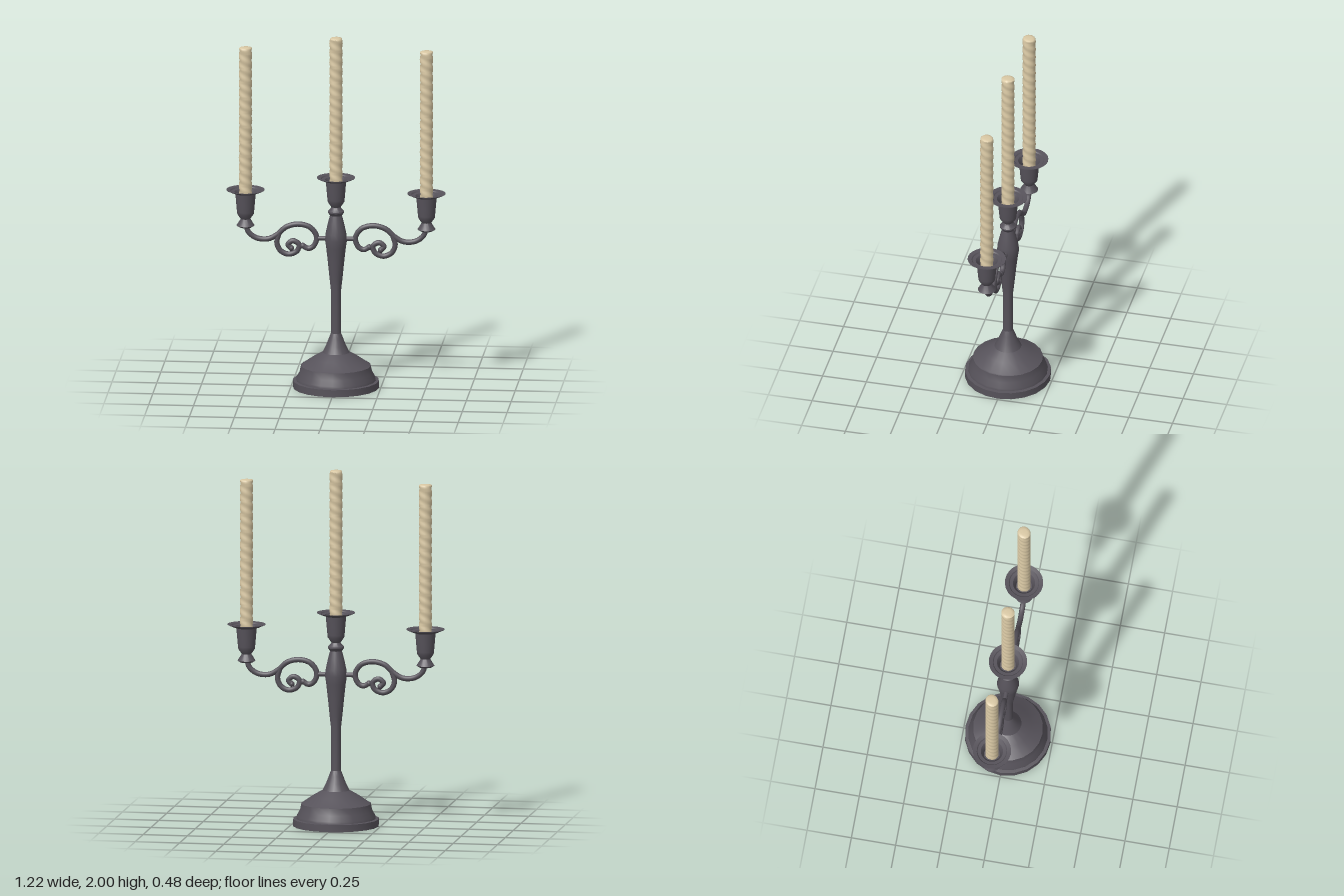
import * as THREE from 'three';
import { toCreasedNormals } from 'three/addons/utils/BufferGeometryUtils.js';

const iron = new THREE.MeshStandardMaterial({ color: 0x56525a });
iron.name = 'dark iron';
const wax = new THREE.MeshStandardMaterial({ color: 0xd9c8a4 });
wax.name = 'cream wax';

function add(parent, name, geometry, material) {
  const mesh = new THREE.Mesh(geometry, material);
  mesh.name = name;
  parent.add(mesh);
  return mesh;
}

// Turned part from [radius, height] pairs, listed from the bottom up
function turned(profile, sides = 20) {
  const points = profile.map(([r, y]) => new THREE.Vector2(r, y));
  return toCreasedNormals(new THREE.LatheGeometry(points, sides), 0.55);
}

// Candle with shallow spiral flutes and a low domed top
function candleGeometry(height) {
  const points = [new THREE.Vector2(0, 0)];
  const rows = Math.round(height / 0.009);
  for (let i = 0; i <= rows; i++) points.push(new THREE.Vector2(0.036, (i / rows) * (height - 0.006)));
  points.push(new THREE.Vector2(0.032, height - 0.002), new THREE.Vector2(0.018, height), new THREE.Vector2(0, height));
  const geometry = new THREE.LatheGeometry(points, 16);
  const p = geometry.attributes.position;
  for (let i = 0; i < p.count; i++) {
    const x = p.getX(i), y = p.getY(i), z = p.getZ(i);
    const r = Math.hypot(x, z);
    if (r < 0.03) continue;
    const s = 1 + 0.05 * Math.cos(2 * Math.atan2(x, z) + y * 118);
    p.setX(i, x * s);
    p.setZ(i, z * s);
  }
  return toCreasedNormals(geometry, 0.9);
}

// Cup with drip pan; the origin is at the rim
function candleHolder(candleHeight) {
  const group = new THREE.Group();
  group.name = 'candleHolder';
  add(group, 'cup', turned([
    [0, -0.17], [0.025, -0.17], [0.046, -0.14], [0.048, -0.125], [0.052, -0.08], [0.057, -0.022],
    [0.075, -0.016], [0.107, -0.002], [0.107, 0], [0.085, -0.004], [0.08, -0.01], [0.062, -0.012],
    [0.05, -0.03], [0.045, -0.06], [0, -0.06],
  ], 24), iron);
  const candle = add(group, 'candle', candleGeometry(candleHeight + 0.058), wax);
  candle.position.y = -0.058;
  return group;
}

// Curved rod through [x, y] pairs, with a rounded tip at its last point
function rod(parent, name, path, radius) {
  const points = path.map(([x, y]) => new THREE.Vector3(x, y, 0));
  add(parent, name, new THREE.TubeGeometry(new THREE.CatmullRomCurve3(points), 72, radius, 10), iron);
  const tip = add(parent, name + 'Tip', new THREE.SphereGeometry(radius * 1.1, 12, 8), iron);
  tip.position.copy(points[points.length - 1]);
}

function branch() {
  const group = new THREE.Group();
  group.name = 'branch';
  rod(group, 'mainScroll', [
    [0.503, 0.93], [0.49, 0.88], [0.445, 0.845], [0.38, 0.84], [0.33, 0.865], [0.275, 0.912],
    [0.205, 0.928], [0.14, 0.908], [0.108, 0.855], [0.125, 0.805], [0.155, 0.79], [0.185, 0.805],
  ], 0.015);
  rod(group, 'innerScroll', [
    [0.315, 0.88], [0.33, 0.82], [0.31, 0.775], [0.265, 0.755], [0.217, 0.775],
    [0.207, 0.812], [0.24, 0.832], [0.268, 0.81], [0.25, 0.79],
  ], 0.015);
  const joint = add(group, 'joint', new THREE.CylinderGeometry(0.013, 0.013, 0.07, 10), iron);
  joint.rotation.z = Math.PI / 2;
  joint.position.set(0.075, 0.85, 0);
  // Flared foot under the cup
  const foot = add(group, 'cupFoot', turned([
    [0, -0.215], [0.035, -0.215], [0.05, -0.205], [0.027, -0.168], [0.025, -0.16],
  ], 24), iron);
  foot.position.set(0.505, 1.12, 0);
  const holder = candleHolder(0.815);
  holder.position.set(0.505, 1.12, 0);
  group.add(holder);
  return group;
}

export function createModel() {
  const model = new THREE.Group();
  model.name = 'candelabrum';

  add(model, 'base', turned([
    [0, 0], [0.24, 0], [0.24, 0.04], [0.222, 0.042], [0.22, 0.055], [0.203, 0.085], [0.195, 0.125],
    [0.188, 0.128], [0.13, 0.168], [0.075, 0.2], [0.055, 0.24], [0.04, 0.28], [0.028, 0.31],
  ]), iron);
  add(model, 'stem', turned([
    [0.028, 0.31], [0.028, 0.55], [0.036, 0.62], [0.046, 0.72], [0.055, 0.8], [0.062, 0.845],
    [0.058, 0.88], [0.045, 0.94], [0.033, 0.985], [0, 0.985],
  ]), iron);
  add(model, 'collar', turned([
    [0, 0.983], [0.033, 0.983], [0.045, 1.0], [0.045, 1.008], [0.03, 1.022], [0.025, 1.035],
  ], 24), iron);

  const centre = candleHolder(0.8);
  centre.position.y = 1.2;
  model.add(centre);

  // The two branches are a half turn apart
  ['left', 'right'].forEach((side, i) => {
    const arm = branch();
    arm.name = side + 'Branch';
    arm.rotation.y = i * Math.PI;
    model.add(arm);
  });
  return model;
}
